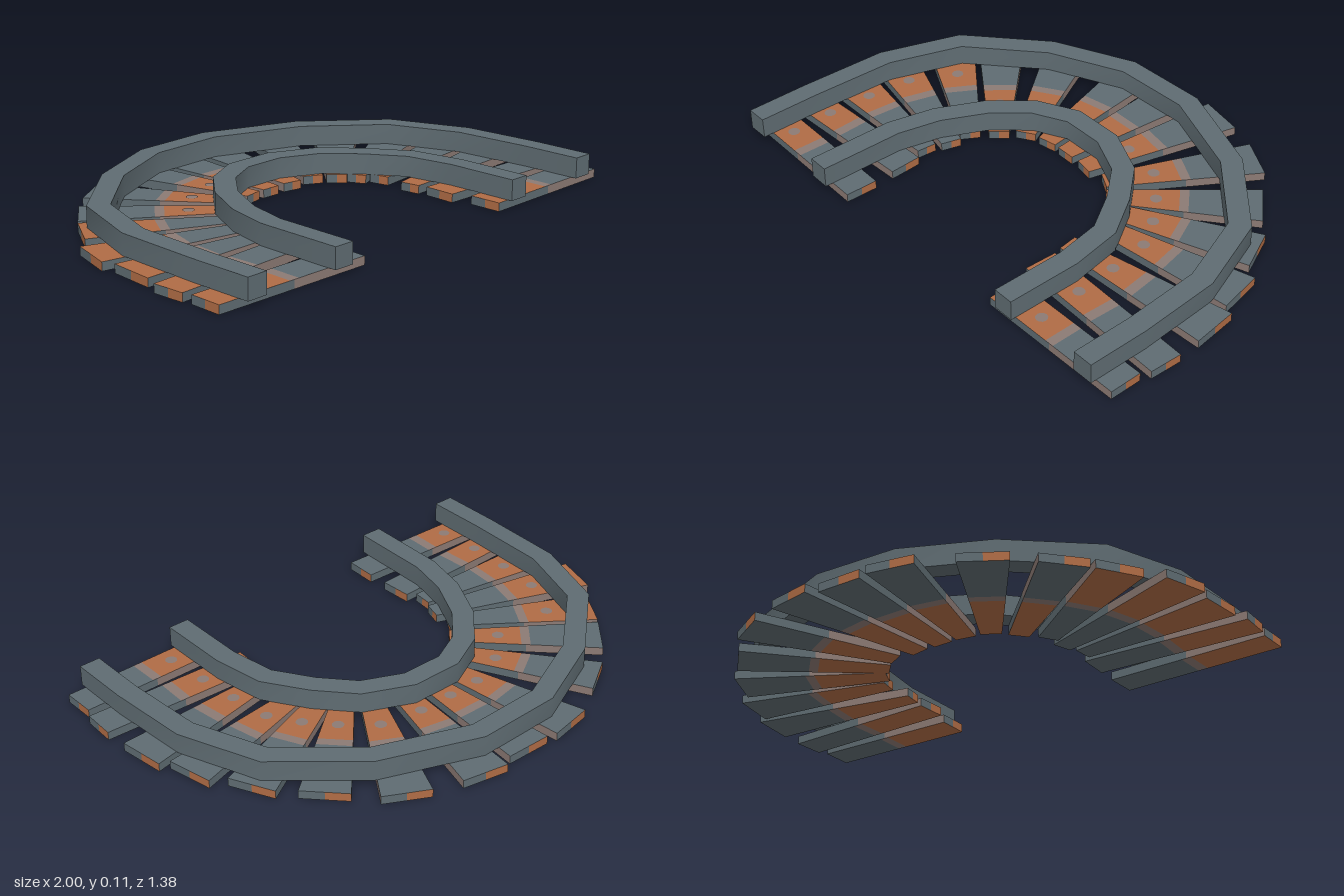
import * as THREE from 'three';
import { toCreasedNormals } from 'three/addons/utils/BufferGeometryUtils.js';

const SLEEPER_H = 0.032, RAIL_TOP = 0.11, RAIL_W = 0.08;

function makeMaterial(name, color) {
  const m = new THREE.MeshStandardMaterial({ color });
  m.name = name;
  return m;
}

// Collects quads (counter-clockwise from outside), one material group each
function quadBuilder() {
  const pos = [], groups = [];
  return {
    quad(a, b, c, d, mat = 0) {
      groups.push([pos.length / 3, mat]);
      for (const p of [a, b, c, a, c, d]) pos.push(...p);
    },
    build() {
      const g = new THREE.BufferGeometry();
      g.setAttribute('position', new THREE.Float32BufferAttribute(pos, 3));
      groups.forEach(([start, mat]) => g.addGroup(start, 6, mat));
      g.computeVertexNormals();
      return g;
    },
  };
}

// Tapered plank from a (rusty end) to b (plain end); materials: 0 steel, 1 rust, 2 worn
function sleeperGeometry(a, b, halfA, halfB) {
  const dx = b[0] - a[0], dz = b[1] - a[1], len = Math.hypot(dx, dz);
  const P = (t, s, y) => {
    const w = s * (halfA + (halfB - halfA) * t);
    return [a[0] + dx * t - (dz / len) * w, y, a[1] + dz * t + (dx / len) * w];
  };
  const q = quadBuilder(), h = SLEEPER_H;
  // top and bottom bands
  for (const [t0, t1, m] of [[0, 0.47, 1], [0.47, 0.53, 2], [0.53, 1, 0]]) {
    q.quad(P(t0, 1, h), P(t1, 1, h), P(t1, -1, h), P(t0, -1, h), m);
    q.quad(P(t0, -1, 0), P(t1, -1, 0), P(t1, 1, 0), P(t0, 1, 0), m);
  }
  // long sides
  for (const [t0, t1, front, back] of [[0, 0.5, 0, 2], [0.5, 1, 2, 0]]) {
    q.quad(P(t0, 1, 0), P(t1, 1, 0), P(t1, 1, h), P(t0, 1, h), front);
    q.quad(P(t1, -1, 0), P(t0, -1, 0), P(t0, -1, h), P(t1, -1, h), back);
  }
  // ends
  for (const [s0, s1, m] of [[1, 0, 0], [0, -1, 1]]) {
    q.quad(P(1, s0, 0), P(1, s1, 0), P(1, s1, h), P(1, s0, h), m);
    q.quad(P(0, -s0, 0), P(0, -s1, 0), P(0, -s1, h), P(0, -s0, h), m);
  }
  return q.build();
}

// Rectangular bar with mitred joints along a list of [x, z] points
function railGeometry(path) {
  const dir = (i) => new THREE.Vector2(path[i + 1][0] - path[i][0], path[i + 1][1] - path[i][1]).normalize();
  const last = path.length - 1;
  const rings = path.map(([x, z], i) => {
    const d0 = dir(Math.max(i - 1, 0)), d1 = dir(Math.min(i, last - 1));
    const d = d0.clone().add(d1).normalize();
    const w = RAIL_W / 2 / d.dot(d1);
    const nx = -d.y * w, nz = d.x * w, y0 = SLEEPER_H, y1 = RAIL_TOP;
    return [[x + nx, y0, z + nz], [x + nx, y1, z + nz], [x - nx, y1, z - nz], [x - nx, y0, z - nz]];
  });
  const q = quadBuilder();
  for (let i = 0; i < last; i++) {
    for (let k = 0; k < 4; k++) {
      const n = (k + 1) % 4;
      q.quad(rings[i][k], rings[i + 1][k], rings[i + 1][n], rings[i][n]);
    }
  }
  const s = rings[0], e = rings[last];
  q.quad(s[0], s[1], s[2], s[3]);
  q.quad(e[3], e[2], e[1], e[0]);
  const g = q.build();
  g.clearGroups();
  return toCreasedNormals(g, Math.PI / 5);
}

export function createModel() {
  const model = new THREE.Group();
  model.name = 'curvedTrack';
  const steel = makeMaterial('slateGrey', 0x5f6c72);
  const rust = makeMaterial('rustOrange', 0xb06c45);
  const worn = makeMaterial('wornTan', 0x8c7a74);

  // Sleepers around the bend: outer x, outer z, inner x, inner z
  const sleepers = [
    [-0.99, 0.585, -0.355, 0.6], [-1, 0.43, -0.36, 0.4], [-0.975, 0.23, -0.39, 0.28],
    [-0.96, 0.015, -0.36, 0.19], [-0.83, -0.19, -0.36, 0.1], [-0.715, -0.345, -0.29, 0.02],
    [-0.515, -0.52, -0.22, -0.05], [-0.24, -0.655, -0.13, -0.075], [-0.03, -0.66, -0.035, -0.08],
    [0.18, -0.67, 0.07, -0.075], [0.45, -0.58, 0.18, -0.075], [0.65, -0.4, 0.25, -0.02],
    [0.805, -0.21, 0.3, 0.03], [0.915, -0.015, 0.35, 0.1], [0.98, 0.17, 0.35, 0.25],
    [0.995, 0.405, 0.36, 0.38], [0.975, 0.56, 0.39, 0.565],
  ];
  sleepers.forEach(([ox, oz, ix, iz], i) => {
    const straight = i < 2 || i > 14;
    const wOut = straight ? 0.062 : 0.088, wIn = straight ? 0.062 : 0.038;
    const outer = [ox, oz], inner = [ix, iz];
    // the first five lie the other way round
    const flipped = i < 5;
    const [a, b, wa, wb] = flipped ? [outer, inner, wOut, wIn] : [inner, outer, wIn, wOut];
    const group = new THREE.Group();
    group.name = 'sleeper' + (i + 1);
    const plank = new THREE.Mesh(sleeperGeometry(a, b, wa, wb), [steel, rust, worn]);
    plank.name = 'plank';
    // round worn spot on the rusty half
    const spot = new THREE.Mesh(new THREE.CircleGeometry(0.022, 12).rotateX(-Math.PI / 2), worn);
    spot.name = 'boltSpot';
    spot.position.set(a[0] + (b[0] - a[0]) * 0.32, SLEEPER_H + 0.002, a[1] + (b[1] - a[1]) * 0.32);
    group.add(plank, spot);
    model.add(group);
  });

  // Rails
  const rails = {
    outerRail: [[-0.872, 0.69], [-0.872, 0.45], [-0.86, 0.11], [-0.76, -0.18], [-0.495, -0.415], [-0.2, -0.55],
      [0.11, -0.56], [0.465, -0.425], [0.735, -0.19], [0.845, 0.1], [0.865, 0.41], [0.865, 0.645]],
    innerRail: [[-0.485, 0.69], [-0.48, 0.36], [-0.44, 0.19], [-0.355, 0.02], [-0.24, -0.11], [-0.1, -0.18],
      [0.08, -0.18], [0.245, -0.105], [0.355, 0.02], [0.45, 0.17], [0.48, 0.36], [0.48, 0.645]],
  };
  for (const [name, path] of Object.entries(rails)) {
    const rail = new THREE.Mesh(railGeometry(path), steel);
    rail.name = name;
    model.add(rail);
  }
  return model;
}
